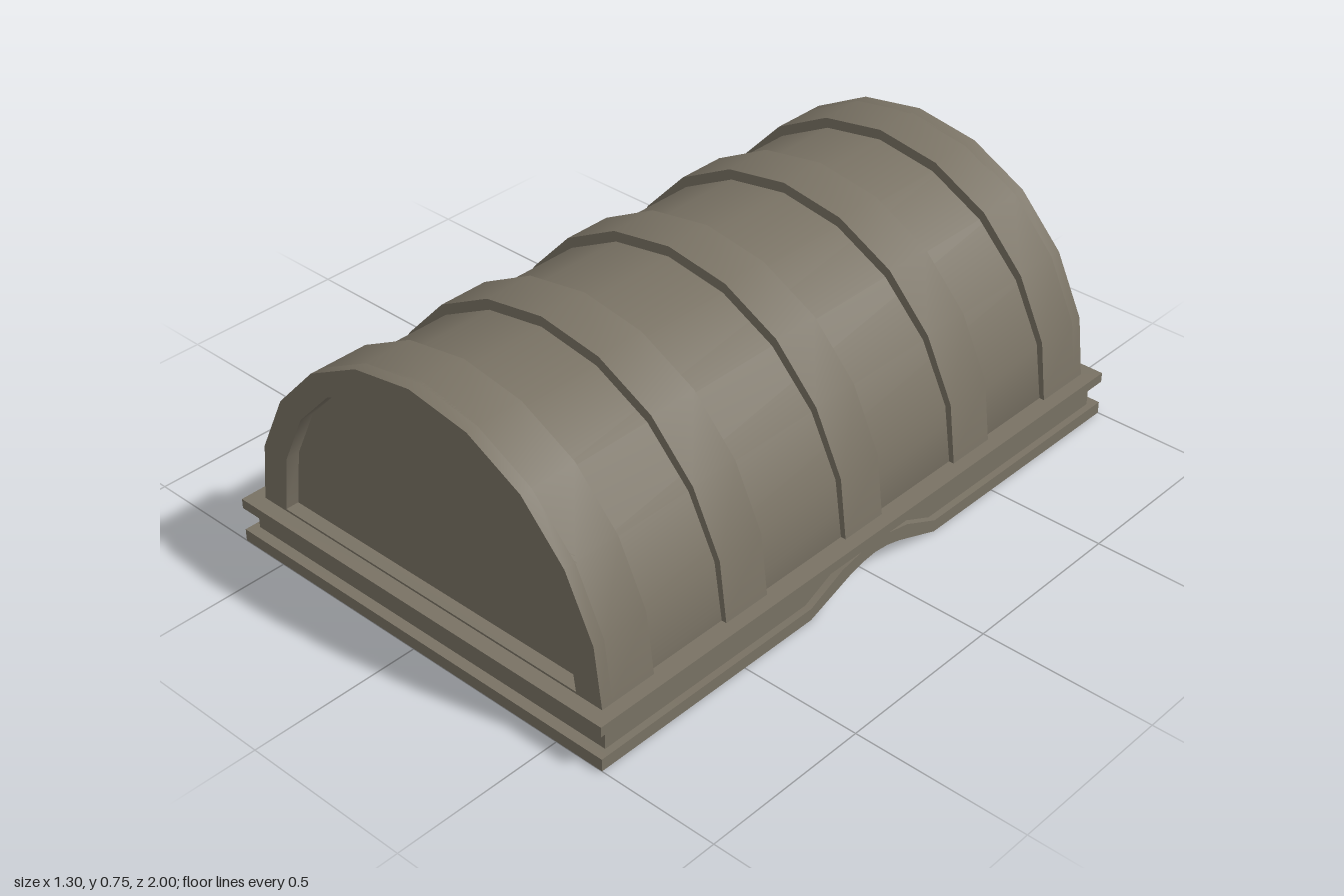
import * as THREE from 'three';
import { toCreasedNormals } from 'three/addons/utils/BufferGeometryUtils.js';

const V = (x, y) => new THREE.Vector2(x, y);

// Right half of each arch, from the foot to the crown
const BAND = [[0.61, 0.133], [0.587, 0.31], [0.5, 0.487], [0.365, 0.63], [0.193, 0.72], [0, 0.751]];
const BARREL = [[0.595, 0.133], [0.57, 0.3], [0.485, 0.468], [0.352, 0.605], [0.186, 0.691], [0, 0.721]];
const VAULT = [[0.575, 0.073], [0.545, 0.19], [0.465, 0.345], [0.338, 0.468], [0.178, 0.547], [0, 0.574]];
const RECESS = [[0.525, 0.14], [0.5, 0.31], [0.425, 0.465], [0.31, 0.585], [0.163, 0.662], [0, 0.688]];

// Underside and top of the lower moulding along one long side, from the end to the middle
const UNDER = [[1, 0], [0.25, 0], [0.1, 0.055], [0.05, 0.068], [0, 0.073]];
const OVER = [[1, 0.036], [0.25, 0.036], [0.13, 0.09], [0.05, 0.106], [0, 0.106]];

// Opening in the base
const IN_X = 0.575;
const IN_Z = 0.91;

// Mirrors a half profile that ends on the centre line
function mirrored(half) {
  const left = half.slice(0, -1).reverse().map(([x, y]) => V(-x, y));
  return [...half.map(([x, y]) => V(x, y)), ...left];
}

function extrude(shape, from, to) {
  const geo = new THREE.ExtrudeGeometry(shape, { depth: to - from, bevelEnabled: false });
  geo.translate(0, 0, from);
  return toCreasedNormals(geo, 0.6);
}

export function createModel() {
  const group = new THREE.Group();
  const material = new THREE.MeshStandardMaterial({ color: 0x797264 });

  function add(name, geometry) {
    const mesh = new THREE.Mesh(geometry, material);
    mesh.name = name;
    group.add(mesh);
    return mesh;
  }
  function box(name, x0, x1, y0, y1, z0, z1) {
    const mesh = add(name, new THREE.BoxGeometry(x1 - x0, y1 - y0, z1 - z0));
    mesh.position.set((x0 + x1) / 2, (y0 + y1) / 2, (z0 + z1) / 2);
  }

  // Hollow arch: outer profile joined to the inner one at the feet
  const archShape = (outer, inner) =>
    new THREE.Shape([...mirrored(outer), ...mirrored(inner).reverse()]);

  // Barrel vault
  add('barrel', extrude(archShape(BARREL, VAULT), -IN_Z, IN_Z));

  // Raised bands around the barrel
  const bandShape = archShape(BAND, BARREL);
  for (const [from, to] of [[-0.92, -0.78], [-0.525, -0.375], [-0.073, 0.073], [0.375, 0.525], [0.78, 0.92]]) {
    add('band', extrude(bandShape, from, to));
  }

  // End rims around the recessed end panels
  const rimShape = new THREE.Shape(mirrored(BAND));
  rimShape.holes.push(new THREE.Path(mirrored(RECESS)));
  const panelShape = new THREE.Shape(mirrored(BARREL));
  for (const s of [-1, 1]) {
    const span = (a, b) => (s > 0 ? [a, b] : [-b, -a]);
    add('endRim', extrude(rimShape, ...span(0.912, 0.955)));
    add('endPanel', extrude(panelShape, ...span(IN_Z, 0.915)));

    // Short sides of the base
    box('endLowerMoulding', -IN_X, IN_X, 0, 0.036, ...span(IN_Z, 1));
    box('endGrooveWall', -IN_X, IN_X, 0.036, 0.106, ...span(IN_Z, 0.968));
  }

  // Upper moulding: a flat frame
  const rect = (x, z) => [V(-x, -z), V(x, -z), V(x, z), V(-x, z)];
  const frame = new THREE.Shape(rect(0.65, 1));
  frame.holes.push(new THREE.Path(rect(IN_X, IN_Z)));
  const upper = extrude(frame, 0.105, 0.134);
  upper.rotateX(-Math.PI / 2);
  add('upperMoulding', upper);

  // Long sides: lower moulding and grooved wall rise over a shallow arch
  const clip = (pts, end) => pts.map(([z, y]) => [Math.min(z, end), y]);
  const sideShape = (top, end) => new THREE.Shape([
    ...mirrored(clip(UNDER, end)).reverse(), ...mirrored(clip(top, end))]);
  const lowerShape = sideShape(OVER, 1);
  const wallShape = sideShape([[1, 0.106], [0, 0.106]], 0.968);
  for (const s of [-1, 1]) {
    for (const [name, shape, out] of [['lowerMoulding', lowerShape, 0.65], ['grooveWall', wallShape, 0.63]]) {
      const geo = extrude(shape, s > 0 ? IN_X : -out, s > 0 ? out : -IN_X);
      geo.rotateY(Math.PI / 2);
      add(name, geo);
    }
  }

  return group;
}
